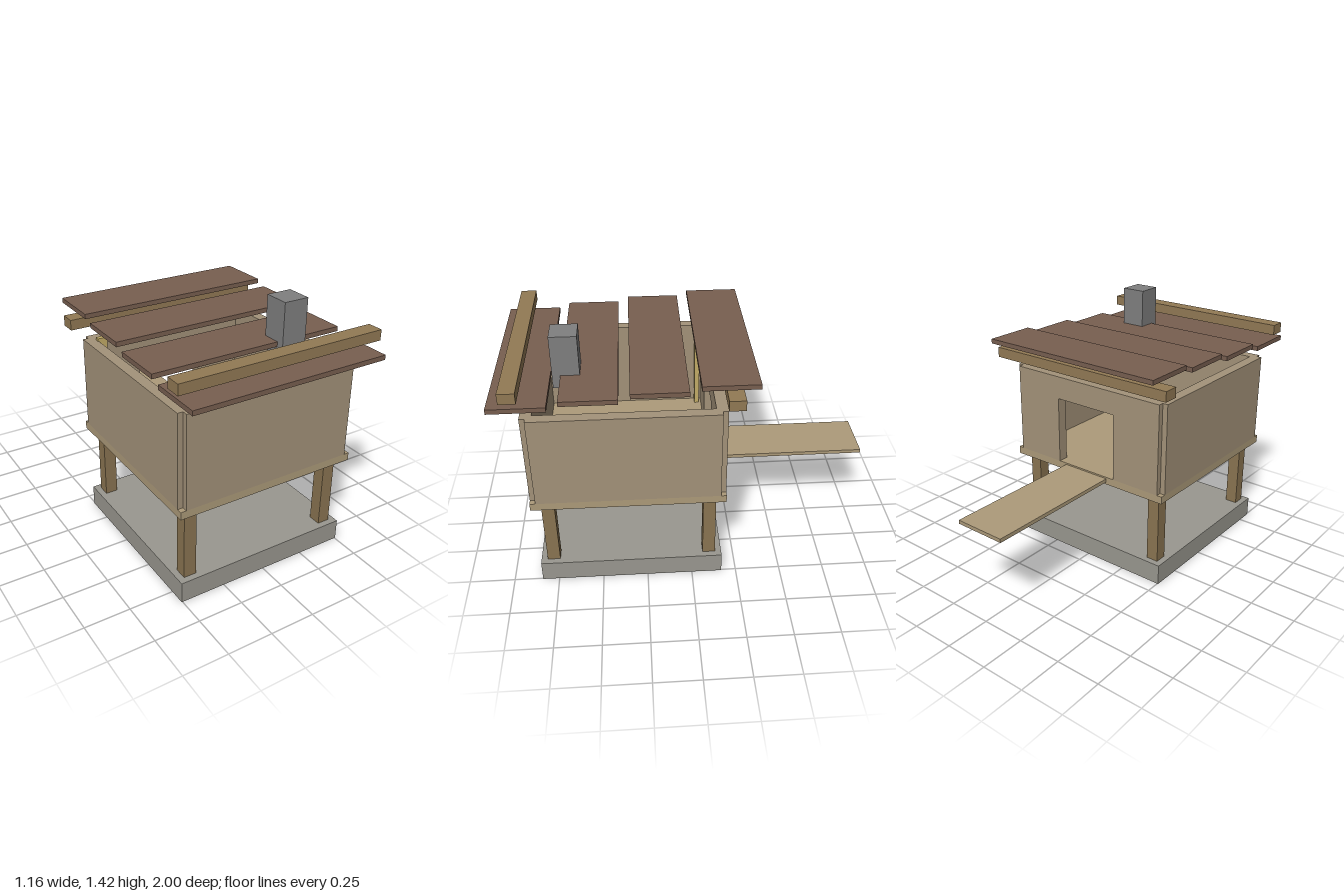
import * as THREE from 'three';

const mat = (color) => new THREE.MeshStandardMaterial({ color });

export function createModel() {
  const group = new THREE.Group();
  const stone = mat(0x9a9890), post = mat(0x8b7552), wall = mat(0xa4937a);
  const deck = mat(0xad9b7a), board = mat(0x785f50), beam = mat(0x927a55);
  const flue = mat(0x808080), straw = mat(0xc4ad68);
  const midZ = 0.337; // centre of the hut body

  // Box given by its extents along each axis
  function box(name, material, [x0, x1], [y0, y1], [z0, z1]) {
    const mesh = new THREE.Mesh(new THREE.BoxGeometry(x1 - x0, y1 - y0, z1 - z0), material);
    mesh.position.set((x0 + x1) / 2, (y0 + y1) / 2, (z0 + z1) / 2);
    mesh.name = name;
    group.add(mesh);
  }

  // Slab and corner posts
  box('baseSlab', stone, [-0.505, 0.505], [0, 0.117], [midZ - 0.505, midZ + 0.505]);
  for (const x of [-0.435, 0.435]) {
    for (const z of [midZ - 0.435, midZ + 0.435]) {
      box('post', post, [x - 0.035, x + 0.035], [0.117, 0.507], [z - 0.035, z + 0.035]);
    }
  }

  // Floor and entrance ramp
  box('floor', deck, [-0.52, 0.52], [0.517, 0.56], [midZ - 0.52, midZ + 0.52]);
  box('ramp', deck, [-0.147, 0.147], [0.53, 0.551], [-1, midZ - 0.52]);

  // Closed walls, leaving a small notch at each corner
  const wallY = [0.56, 1.075];
  for (const x of [-0.49, 0.49]) {
    box('sideWall', wall, [x - 0.03, x + 0.03], wallY, [midZ - 0.49, midZ + 0.49]);
  }
  box('frontWall', wall, [-0.49, 0.49], wallY, [midZ + 0.46, midZ + 0.52]);

  // Back wall with a doorway open down to the floor
  const outline = [[-0.49, 0.56], [-0.195, 0.56], [-0.195, 0.945], [0.195, 0.945],
    [0.195, 0.56], [0.49, 0.56], [0.49, 1.075], [-0.49, 1.075]];
  const shape = new THREE.Shape(outline.map(([x, y]) => new THREE.Vector2(x, y)));
  const doorWall = new THREE.Mesh(
    new THREE.ExtrudeGeometry(shape, { depth: 0.06, bevelEnabled: false }), wall);
  doorWall.position.z = midZ - 0.52;
  doorWall.name = 'doorWall';
  group.add(doorWall);

  // Upright batten in the inner corner
  box('batten', straw, [-0.465, -0.41], [0.56, 1.09], [-0.11, -0.083]);

  // Stepped roof boards, rising towards the back
  for (let i = 0; i < 4; i++) {
    const z = 0.855 - i * 0.347, y = 1.149 + i * 0.0285;
    box('roofBoard', board, [-0.55, 0.55], [y, y + 0.026], [z - 0.145, z + 0.145]);
  }

  // Roof beams and chimney
  box('frontBeam', beam, [-0.578, 0.578], [1.219, 1.276], [0.842, 0.928]);
  box('backBeam', beam, [-0.578, 0.578], [1.132, 1.189], [-0.257, -0.171]);
  box('chimney', flue, [0.16, 0.3], [1.132, 1.421], [0.555, 0.695]);

  return group;
}
